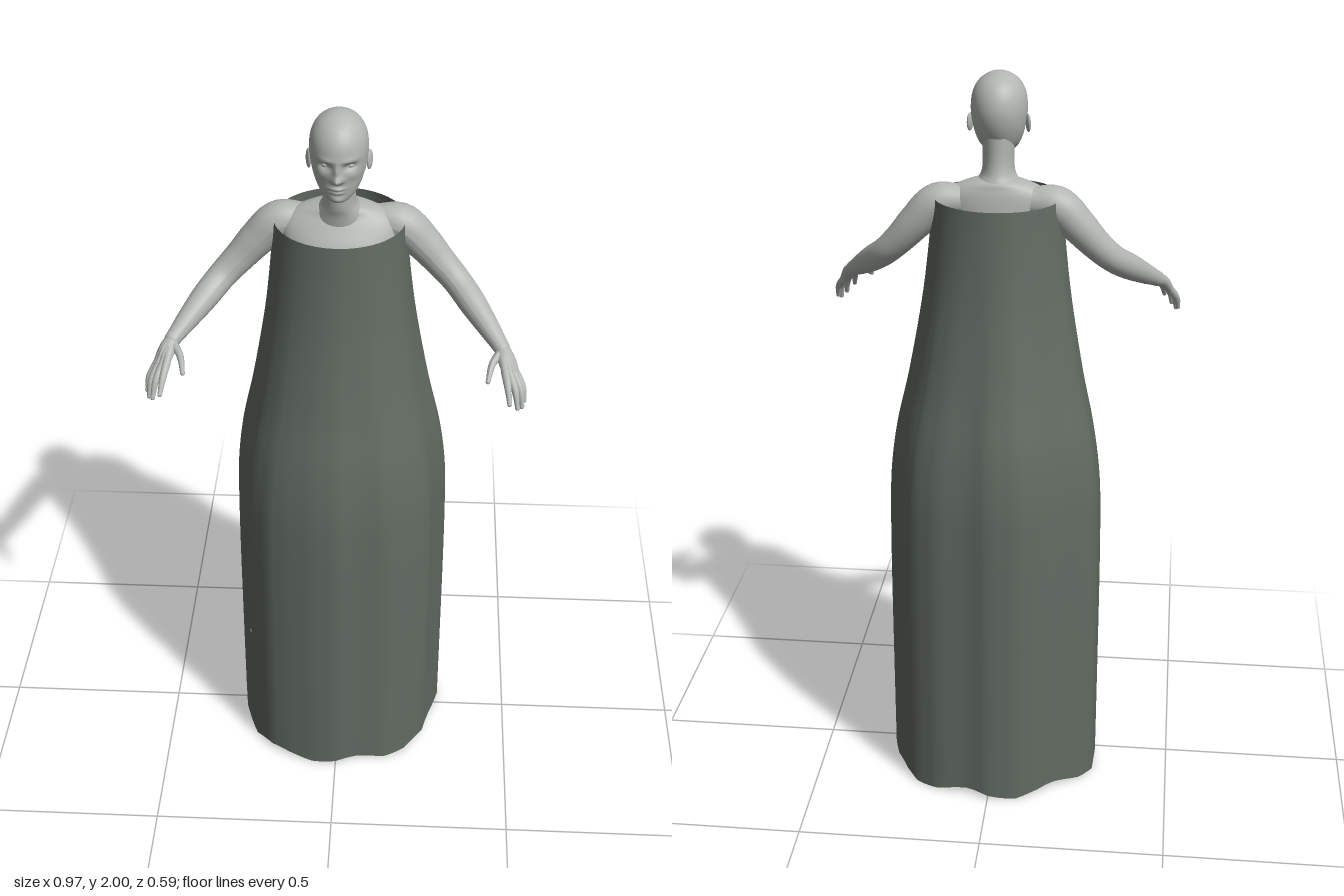
import * as THREE from 'three';
import { mergeGeometries } from 'three/addons/utils/BufferGeometryUtils.js';

const skin = new THREE.MeshStandardMaterial({ color: 0xb3b7b3 });
skin.name = 'pale grey skin';
const cloth = new THREE.MeshStandardMaterial({ color: 0x626b62, side: THREE.DoubleSide });
cloth.name = 'dark grey green cloth';

// Smooth interpolation through rows of numbers, t from 0 to 1
function sample(rows, t) {
  const f = t * (rows.length - 1);
  const i = Math.min(Math.floor(f), rows.length - 2);
  const u = f - i;
  const at = k => rows[Math.max(0, Math.min(rows.length - 1, k))];
  return rows[i].map((b, c) => {
    const a = at(i - 1)[c], d = at(i + 1)[c], e = at(i + 2)[c];
    const m0 = (d - a) / 2, m1 = (e - b) / 2;
    return b + m0 * u + (3 * (d - b) - 2 * m0 - m1) * u * u + (2 * (b - d) + m0 + m1) * u * u * u;
  });
}

// Closed rings, bottom to top; point(i, j) returns [x, y, z]
function surface(rings, segs, point) {
  const pos = [], idx = [];
  for (let i = 0; i <= rings; i++) {
    for (let j = 0; j < segs; j++) {
      pos.push(...point(i / rings, j));
      if (i === rings) continue;
      const a = i * segs + j, b = i * segs + (j + 1) % segs;
      idx.push(a, b, b + segs, a, b + segs, a + segs);
    }
  }
  const g = new THREE.BufferGeometry();
  g.setAttribute('position', new THREE.Float32BufferAttribute(pos, 3));
  g.setIndex(idx);
  g.computeVertexNormals();
  return g;
}

// Rows of [y, half width, front z, back z]
function loft(rows, rings, segs, shift = () => 0) {
  return surface(rings, segs, (t, j) => {
    const [y, w, zf, zb] = sample(rows, t);
    const a = (j / segs) * Math.PI * 2;
    const x = w * Math.sin(a);
    const z = (zf + zb) / 2 + (zf - zb) / 2 * Math.cos(a);
    return [x, y, z + (Math.cos(a) > 0 ? shift(Math.abs(x), y) : 0)];
  });
}

// Tapered tube through [x, y, z, radius] with a rounded tip
function limb(pts, side, n = 24, segs = 16) {
  const curve = new THREE.CatmullRomCurve3(pts.map(p => new THREE.Vector3(p[0] * side, p[1], p[2])));
  const g = new THREE.TubeGeometry(curve, n, 1, segs);
  const p = g.attributes.position, v = new THREE.Vector3();
  for (let k = 0; k < p.count; k++) {
    const u = Math.floor(k / (segs + 1)) / n;
    const c = curve.getPointAt(u);
    const r = sample(pts, curve.getUtoTmapping(u))[3];
    v.fromBufferAttribute(p, k).sub(c).multiplyScalar(r).add(c);
    p.setXYZ(k, v.x, v.y, v.z);
  }
  g.computeVertexNormals();
  const end = pts[pts.length - 1];
  return mergeGeometries([g, ball(end[0] * side, end[1], end[2], end[3], end[3], end[3])]);
}

function ball(x, y, z, rx, ry, rz) {
  return new THREE.SphereGeometry(1, 20, 14).scale(rx, ry, rz).translate(x, y, z);
}

// Bumps and hollows of the face: [x, y, spread x, spread y, depth]
const FACE = [
  [0, 1.857, 0.010, 0.010, 0.022], [0, 1.878, 0.008, 0.018, 0.012],
  [0.010, 1.853, 0.007, 0.006, 0.006], [0.030, 1.888, 0.015, 0.010, -0.012],
  [0.028, 1.905, 0.020, 0.007, 0.004], [0, 1.828, 0.016, 0.005, 0.008],
  [0, 1.818, 0.014, 0.004, 0.007], [0, 1.823, 0.018, 0.002, -0.003],
  [0, 1.795, 0.016, 0.010, 0.005], [0.042, 1.862, 0.014, 0.012, 0.004],
];
const face = (x, y) => FACE.reduce((s, [fx, fy, sx, sy, d]) =>
  s + d * Math.exp(-(((x - fx) / sx) ** 2) - ((y - fy) / sy) ** 2), 0);

// Hem outline seen from above, [x, z], from the front round by +x
const HEM = [
  [0, 0.27], [0.065, 0.252], [0.14, 0.24], [0.2, 0.2], [0.255, 0.135], [0.275, 0.05],
  [0.3, -0.04], [0.28, -0.12], [0.245, -0.185], [0.21, -0.23], [0.145, -0.265], [0.06, -0.275],
  [0, -0.295], [-0.08, -0.288], [-0.14, -0.255], [-0.19, -0.212], [-0.25, -0.168], [-0.287, -0.12],
  [-0.292, -0.04], [-0.28, 0.05], [-0.257, 0.115], [-0.24, 0.16], [-0.19, 0.215], [-0.14, 0.24], [-0.07, 0.263],
];

// Open tube dress: wavy hem blending into a round top edge
function dressGeometry() {
  const flare = [[0, 1], [0.3, 1], [0.6, 0.995], [0.8, 0.975], [0.92, 0.93], [1.05, 0.79],
    [1.2, 0.53], [1.4, 0.25], [1.55, 0.1], [1.685, 0]];
  const sub = 3;
  return surface(45, HEM.length * sub, (t, j) => {
    const [y, k] = sample(flare, t);
    const p = HEM[Math.floor(j / sub)], q = HEM[(Math.floor(j / sub) + 1) % HEM.length];
    const u = (j % sub) / sub;
    const hx = p[0] + (q[0] - p[0]) * u, hz = p[1] + (q[1] - p[1]) * u;
    const a = Math.atan2(hx, hz + 0.0125);
    const wave = 0.009 * (1 + Math.sin(a * 7)) * Math.max(0, 1 - y / 0.2);
    return [
      0.168 * Math.sin(a) * (1 - k) + hx * k,
      y + wave,
      (-0.008 + 0.16 * Math.cos(a)) * (1 - k) + hz * k,
    ];
  });
}

export function createModel() {
  const model = new THREE.Group();
  model.name = 'figureInTubeDress';
  const add = (name, geometry, material = skin) => {
    const m = new THREE.Mesh(geometry, material);
    m.name = name;
    model.add(m);
  };

  add('dress', dressGeometry(), cloth);

  add('head', loft([
    [1.783, 0.001, 0.075, 0.073], [1.785, 0.022, 0.1, 0.05], [1.795, 0.038, 0.109, 0.01], [1.815, 0.053, 0.113, -0.02],
    [1.845, 0.064, 0.117, -0.04], [1.88, 0.071, 0.122, -0.053], [1.915, 0.073, 0.126, -0.056],
    [1.95, 0.067, 0.117, -0.047], [1.978, 0.05, 0.095, -0.026], [1.995, 0.024, 0.062, 0.008], [2, 0.001, 0.036, 0.034],
  ], 90, 72, face));

  add('neck', loft([
    [1.68, 0.075, 0.05, -0.06], [1.72, 0.058, 0.058, -0.056], [1.745, 0.044, 0.066, -0.046],
    [1.78, 0.041, 0.07, -0.04], [1.84, 0.043, 0.07, -0.04],
  ], 20, 32));

  add('torso', loft([
    [1.09, 0.001, -0.01, -0.012], [1.1, 0.08, 0.04, -0.07], [1.14, 0.148, 0.065, -0.09], [1.2, 0.152, 0.07, -0.095],
    [1.28, 0.128, 0.07, -0.07], [1.37, 0.11, 0.07, -0.055], [1.47, 0.122, 0.085, -0.065],
    [1.56, 0.135, 0.095, -0.07], [1.63, 0.145, 0.085, -0.07], [1.68, 0.145, 0.058, -0.066],
    [1.71, 0.115, 0.04, -0.06], [1.73, 0.06, 0.035, -0.05], [1.74, 0.001, 0, -0.002],
  ], 50, 40));

  for (const s of [1, -1]) {
    const side = s > 0 ? 'left' : 'right';
    add(side + 'Eye', ball(s * 0.03, 1.888, 0.095, 0.012, 0.009, 0.012));
    add(side + 'Ear', ball(0, 0, 0, 0.006, 0.025, 0.015).rotateY(-s * 0.35).rotateX(-0.15).translate(s * 0.075, 1.868, 0.028));
    add(side + 'Breast', ball(s * 0.062, 1.545, 0.08, 0.055, 0.055, 0.052));
    add(side + 'Buttock', ball(s * 0.065, 1.165, -0.055, 0.07, 0.08, 0.065));

    add(side + 'Arm', limb([
      [0.09, 1.675, -0.022, 0.04], [0.155, 1.667, -0.022, 0.05], [0.21, 1.615, -0.02, 0.047], [0.255, 1.565, -0.012, 0.041],
      [0.3, 1.52, 0.008, 0.037], [0.345, 1.48, 0.06, 0.035], [0.39, 1.44, 0.12, 0.027], [0.418, 1.415, 0.16, 0.021],
    ], s, 40, 24));

    // Hand: flattened palm, four fingers and a thumb
    add(side + 'Palm', mergeGeometries([
      [0.427, 1.385, 0.222], [0.438, 1.378, 0.22], [0.45, 1.372, 0.214], [0.457, 1.367, 0.205],
    ].map(k => limb([[0.418, 1.415, 0.16, 0.018], [(k[0] + 0.418) / 2, 1.4, (k[2] + 0.16) / 2, 0.015], [...k, 0.01]], s, 8, 10))));
    add(side + 'Fingers', mergeGeometries([
      [[0.427, 1.385, 0.222], [0.434, 1.36, 0.258], [0.44, 1.328, 0.286]],
      [[0.438, 1.378, 0.22], [0.453, 1.348, 0.252], [0.461, 1.308, 0.272]],
      [[0.45, 1.372, 0.214], [0.467, 1.34, 0.24], [0.473, 1.3, 0.253]],
      [[0.457, 1.367, 0.205], [0.474, 1.338, 0.224], [0.479, 1.308, 0.236]],
      [[0.414, 1.41, 0.175], [0.394, 1.396, 0.21], [0.384, 1.372, 0.252]],
    ].map(f => limb(f.map((p, i) => [...p, [0.011, 0.009, 0.006][i]]), s, 10, 10))));

    // Legs stand apart inside the dress
    add(side + 'Leg', limb([
      [0.08, 1.17, -0.01, 0.075], [0.1, 1.06, -0.005, 0.073], [0.125, 0.94, 0, 0.06], [0.148, 0.82, 0.005, 0.046],
      [0.168, 0.71, -0.008, 0.047], [0.19, 0.58, -0.015, 0.036], [0.208, 0.46, -0.015, 0.025], [0.212, 0.42, -0.015, 0.026],
    ], s, 40, 20));
    add(side + 'Foot', limb([
      [0.21, 0.41, -0.035, 0.026], [0.217, 0.415, 0.01, 0.03], [0.228, 0.405, 0.06, 0.026], [0.238, 0.395, 0.105, 0.018],
      [0.243, 0.39, 0.125, 0.012],
    ], s, 16, 16));
  }
  return model;
}
